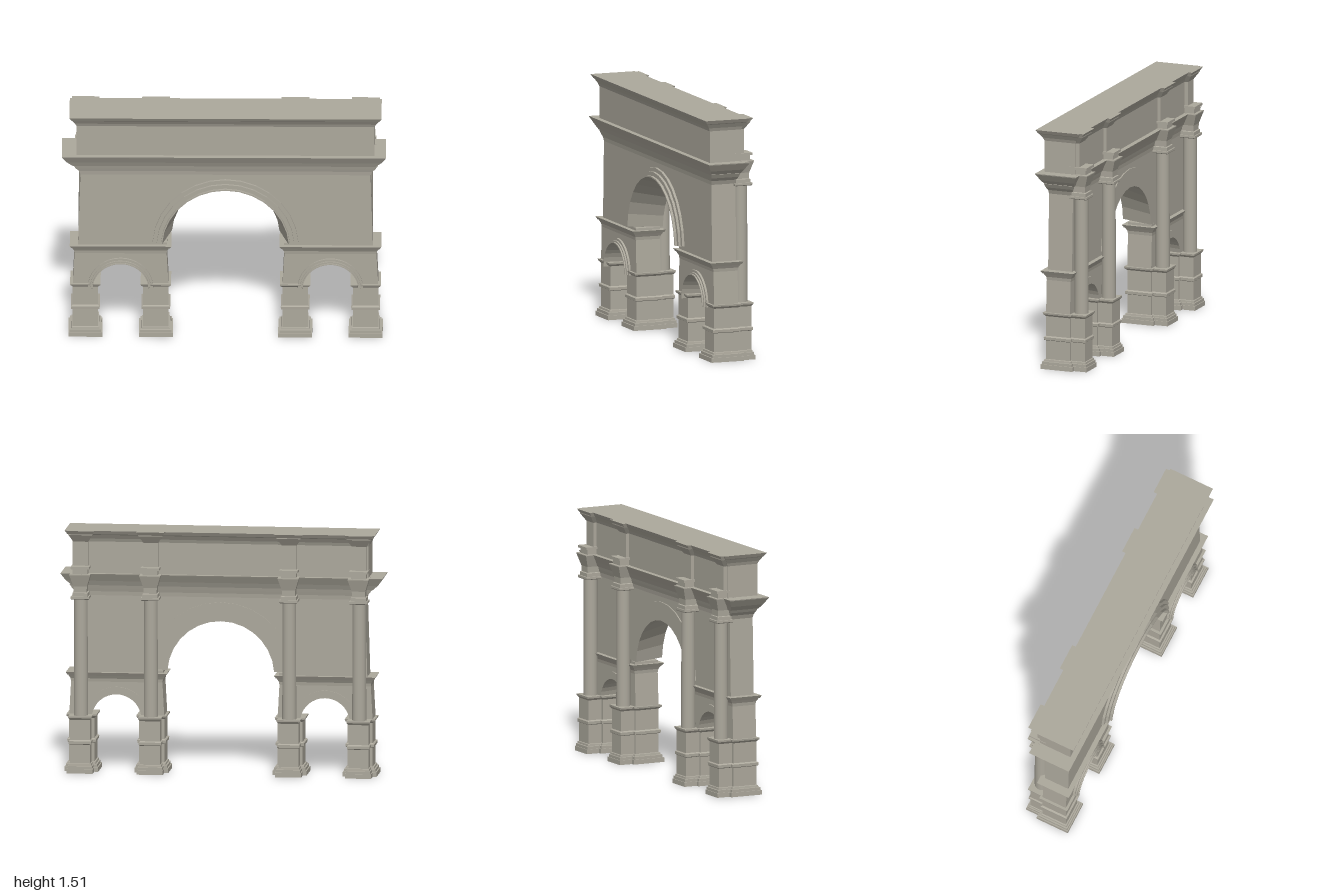
import * as THREE from 'three';

const stone = new THREE.MeshStandardMaterial({ color: 0xaca89c, side: THREE.DoubleSide });
stone.name = 'stone';

function mesh(parent, name, geometry) {
  const m = new THREE.Mesh(geometry, stone);
  m.name = name;
  parent.add(m);
  return m;
}

function flat(positions) {
  const g = new THREE.BufferGeometry();
  g.setAttribute('position', new THREE.Float32BufferAttribute(positions.flat(), 3));
  g.computeVertexNormals();
  return g;
}

// Stack of rectangles: rect is [x0, x1, z0, z1], each level is [y, dx, dz] growing it outward
function loft(rect, levels) {
  const [x0, x1, z0, z1] = rect;
  const rings = levels.map(([y, dx, dz = dx, dzBack = dz]) => [
    [x0 - dx, y, z1 + dz], [x1 + dx, y, z1 + dz],
    [x1 + dx, y, z0 - dzBack], [x0 - dx, y, z0 - dzBack]]);
  const p = [];
  for (let k = 0; k + 1 < rings.length; k++) {
    const a = rings[k], b = rings[k + 1];
    for (let i = 0; i < 4; i++) {
      const j = (i + 1) % 4;
      p.push(a[i], a[j], b[j], a[i], b[j], b[i]);
    }
  }
  const bot = rings[0], top = rings[rings.length - 1];
  p.push(bot[0], bot[2], bot[1], bot[0], bot[3], bot[2]);
  p.push(top[0], top[1], top[2], top[0], top[2], top[3]);
  return flat(p);
}

// Moulded arch: closed [radius, z] profile swept through an arc, with capped ends
function archRing(profile, start, segments) {
  const at = (k, i) => {
    const t = start + (Math.PI - 2 * start) * i / segments;
    const [r, z] = profile[k % profile.length];
    return [r * Math.cos(t), r * Math.sin(t), z];
  };
  const p = [];
  for (let i = 0; i < segments; i++) {
    for (let k = 0; k < profile.length; k++) {
      p.push(at(k, i), at(k + 1, i), at(k + 1, i + 1), at(k, i), at(k + 1, i + 1), at(k, i + 1));
    }
  }
  const faces = THREE.ShapeUtils.triangulateShape(profile.map(([r, z]) => new THREE.Vector2(r, z)), []);
  for (const f of faces) {
    for (const i of [0, segments]) p.push(...f.map(k => at(k, i)));
  }
  return flat(p);
}

const FRONT = 0.105, BACK = -0.055;

function wall(shape) {
  const g = new THREE.ExtrudeGeometry(shape, { depth: FRONT - BACK, bevelEnabled: false, curveSegments: 14 });
  return g.translate(0, 0, BACK);
}

// Shared moulding outline of piers and pedestals: base, waist band and impost
const pierLevels = [[0, 0.027], [0.028, 0.027], [0.028, 0.019], [0.045, 0.019], [0.046, 0.01],
  [0.058, 0.008], [0.06, 0], [0.178, 0], [0.183, 0.01], [0.2, 0.011], [0.207, 0],
  [0.332, 0], [0.345, 0.014], [0.356, 0.016]];

function addPier(parent, x) {
  const g = new THREE.Group();
  g.name = 'pier';
  g.position.x = x;
  parent.add(g);
  mesh(g, 'pierShaft', loft([-0.078, 0.078, BACK, FRONT], pierLevels));
  // Pedestal and round column at the back
  mesh(g, 'pedestal', loft([-0.062, 0.062, -0.148, -0.05],
    pierLevels.map(([y, d]) => [y, d * 0.7])));
  const column = mesh(g, 'column', new THREE.CylinderGeometry(0.042, 0.044, 0.74, 16));
  column.position.set(0, 0.72, -0.1);
  // Capital with entablature block
  mesh(g, 'capital', loft([-0.04, 0.04, -0.14, -0.06], [
    [1.085, 0.012], [1.09, 0.017], [1.103, 0.017], [1.103, 0.008], [1.125, 0.008], [1.128, 0],
    [1.165, 0.002], [1.238, 0.025], [1.243, 0.025], [1.243, 0.006], [1.275, 0.006],
    [1.275, 0.018], [1.29, 0.018]]));
  // Attic pilaster
  mesh(g, 'atticPilaster', loft([-0.046, 0.046, -0.105, -0.05],
    [[1.2, 0], [1.44, 0, 0], [1.485, 0.028, 0, 0.03], [1.49, 0.03, 0, 0.03], [1.512, 0.04, 0, 0.045]]));
}

// Side block carrying a small arch over two piers
function addSideBlock(parent, side) {
  const g = new THREE.Group();
  g.name = 'sideBlock';
  g.position.x = side * 0.6475;
  parent.add(g);
  const r = 0.185, cy = 0.328, a = Math.asin((0.355 - cy) / r);
  const s = new THREE.Shape();
  s.moveTo(-0.295, 0.355);
  s.lineTo(-r * Math.cos(a), 0.355);
  s.absarc(0, cy, r, Math.PI - a, a, true);
  s.lineTo(0.295, 0.355);
  s.lineTo(0.284, 0.56);
  s.lineTo(-0.284, 0.56);
  mesh(g, 'sideWall', wall(s));
  mesh(g, 'sideCornice', loft([-0.284, 0.284, BACK, FRONT], [
    [0.56, 0], [0.58, 0.003], [0.598, 0.013], [0.603, 0.016], [0.603, 0.02], [0.62, 0.03]]));
  const ring = mesh(g, 'smallArchMoulding', archRing([[0.172, 0.137], [0.178, 0.137], [0.178, 0.128],
    [0.188, 0.128], [0.188, 0.118], [0.202, 0.118], [0.202, -0.062], [0.155, -0.062]], 0, 18));
  ring.position.y = cy;
}

export function createModel() {
  const model = new THREE.Group();
  model.name = 'triumphalArch';
  const body = new THREE.Group();
  body.name = 'archBody';
  body.position.x = 0.01;
  model.add(body);

  for (const side of [-1, 1]) {
    addPier(body, side * 0.43);
    addPier(body, side * 0.865);
    addSideBlock(body, side);
  }

  // Main wall with the large opening
  const s = new THREE.Shape();
  s.moveTo(-0.91, 0.615);
  s.lineTo(-0.36, 0.615);
  s.lineTo(-0.36, 0.635);
  s.lineTo(-0.4, 0.635);
  s.absarc(0, 0.62, 0.4, Math.PI - 0.04, 0.04, true);
  s.lineTo(0.36, 0.635);
  s.lineTo(0.36, 0.615);
  s.lineTo(0.91, 0.615);
  s.lineTo(0.895, 1.1);
  s.lineTo(-0.895, 1.1);
  mesh(body, 'mainWall', wall(s));

  // Large stepped arch moulding
  const ring = mesh(body, 'largeArchMoulding', archRing([[0.392, 0.15], [0.4, 0.15], [0.4, 0.135],
    [0.425, 0.135], [0.425, 0.12], [0.45, 0.12], [0.45, -0.062], [0.332, -0.062]], 0.06, 14));
  ring.position.y = 0.62;

  // Main cornice: cove below, flaring shelf above
  mesh(body, 'cove', loft([-0.895, 0.895, BACK, FRONT],
    [[1.1, 0], [1.125, 0.01, 0.003], [1.145, 0.03, 0.009], [1.17, 0.045, 0.016]]));
  mesh(model, 'mainCornice', loft([-0.935, 0.935, -0.075, 0.12],
    [[1.165, 0], [1.195, 0.035, 0.014], [1.236, 0.063, 0.037], [1.242, 0.065, 0.04]]));

  // Attic with its crowning cornice
  mesh(body, 'attic', loft([-0.92, 0.92, -0.083, 0.125], [
    [1.235, 0], [1.44, 0], [1.46, 0.008], [1.485, 0.024], [1.49, 0.03], [1.512, 0.043]]));
  return model;
}
